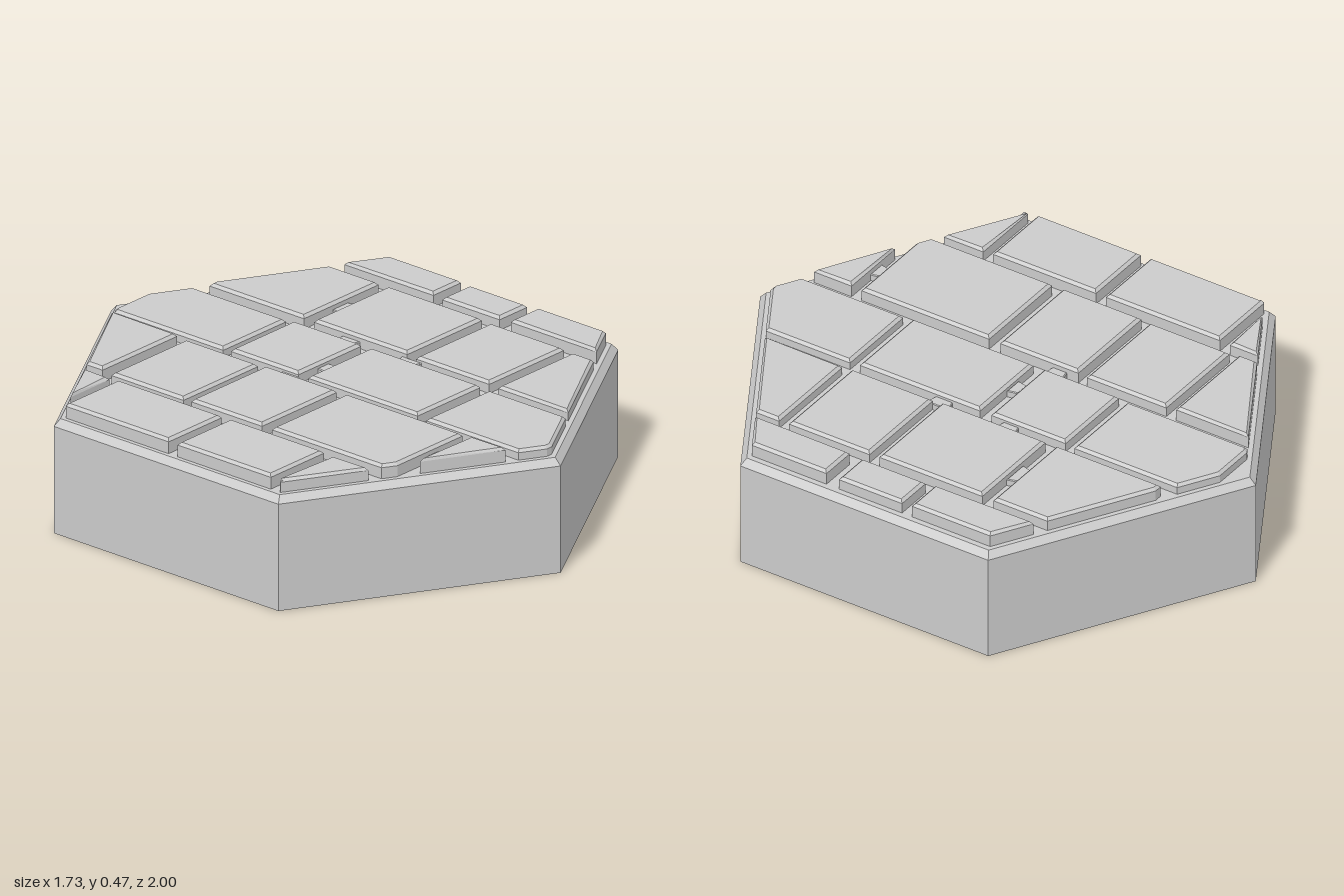
import * as THREE from 'three';

const material = new THREE.MeshStandardMaterial({ color: 0xcccccc, flatShading: true });
const BASE_TOP = 0.415;
const CLIP = 0.957; // corner radius of the hexagon that trims the stones

// Keep the part of a polygon of [x, z] points inside a*x + b*z <= c
function clip(points, a, b, c) {
  const out = [];
  points.forEach((p, i) => {
    const q = points[(i + 1) % points.length];
    const dp = a * p[0] + b * p[1] - c;
    const dq = a * q[0] + b * q[1] - c;
    if (dp <= 0) out.push(p);
    if (dp * dq < 0) {
      const t = dp / (dp - dq);
      out.push([p[0] + (q[0] - p[0]) * t, p[1] + (q[1] - p[1]) * t]);
    }
  });
  return out;
}

// Upright block with a chamfered top; its foot is sunk into the base
function block(name, points, top, bevel) {
  const foot = BASE_TOP - 0.03;
  const shape = new THREE.Shape(points.map(([x, z]) => new THREE.Vector2(x, -z)));
  const geometry = new THREE.ExtrudeGeometry(shape, {
    depth: top - foot - 2 * bevel,
    bevelEnabled: true, bevelSegments: 1,
    bevelThickness: bevel, bevelSize: bevel, bevelOffset: -bevel,
  });
  geometry.rotateX(-Math.PI / 2).translate(0, foot + bevel, 0);
  const mesh = new THREE.Mesh(geometry, material);
  mesh.name = name;
  return mesh;
}

// Columns of stones: x range, then [z back, z front, top height] per stone
const columns = [
  { x: [-0.83, -0.56], rows: [[-1, -0.52, 0.465], [-0.48, -0.02, 0.468], [0.02, 0.435, 0.468], [0.475, 1, 0.462]] },
  { x: [-0.52, -0.14], rows: [[-1, -0.585, 0.468], [-0.545, -0.225, 0.46], [-0.19, 0.125, 0.465], [0.17, 0.685, 0.465], [0.725, 1, 0.468]] },
  { x: [-0.1, 0.22], rows: [[-0.91, -0.415, 0.452], [-0.38, -0.08, 0.458], [-0.035, 0.45, 0.458], [0.49, 0.95, 0.452]] },
  { x: [0.26, 0.64], rows: [[-0.79, -0.37, 0.463], [-0.325, 0.09, 0.463], [0.13, 0.455, 0.458], [0.495, 1, 0.454]] },
  { x: [0.685, 0.825], rows: [[-1, -0.165, 0.468], [-0.125, 0.13, 0.463], [0.18, 1, 0.468]] },
];

// Small wedges in the joints: centre x, centre z, length, whether along z
const wedges = [
  [0.445, -0.348, 0.1, false], [0.025, -0.058, 0.07, false], [-0.29, 0.705, 0.07, false],
  [-0.12, -0.115, 0.075, true], [0.24, -0.16, 0.08, true], [0.24, 0.11, 0.09, true],
];

export function createModel() {
  const model = new THREE.Group();
  model.name = 'hexagonalPavingTile';

  // Hexagonal slab with a chamfered upper edge
  const profile = [[0, 0], [1, 0], [1, 0.39], [0.976, BASE_TOP], [0, BASE_TOP]];
  const slab = new THREE.LatheGeometry(profile.map((p) => new THREE.Vector2(...p)), 6).toNonIndexed();
  slab.computeVertexNormals();
  const base = new THREE.Mesh(slab, material);
  base.name = 'base';
  model.add(base);

  // Paving stones trimmed to the hexagon
  const stones = new THREE.Group();
  stones.name = 'pavingStones';
  for (const { x: [x0, x1], rows } of columns) {
    for (const [z0, z1, top] of rows) {
      let points = [[x0, z0], [x1, z0], [x1, z1], [x0, z1]];
      for (const sx of [-1, 1]) {
        for (const sz of [-1, 1]) points = clip(points, sx / Math.sqrt(3), sz, CLIP);
      }
      stones.add(block('pavingStone', points, top, 0.01));
    }
  }
  model.add(stones);

  // Tapered wedges bridging the joints
  const joints = new THREE.Group();
  joints.name = 'jointWedges';
  for (const [cx, cz, length, alongZ] of wedges) {
    const h = length / 2, w = 0.022;
    const outline = [[-h * 0.75, -w], [h * 0.75, -w], [h, w], [-h, w]];
    const points = outline.map(([u, v]) => (alongZ ? [cx + v, cz + u] : [cx + u, cz + v]));
    joints.add(block('jointWedge', points, 0.44, 0.003));
  }
  model.add(joints);
  return model;
}
